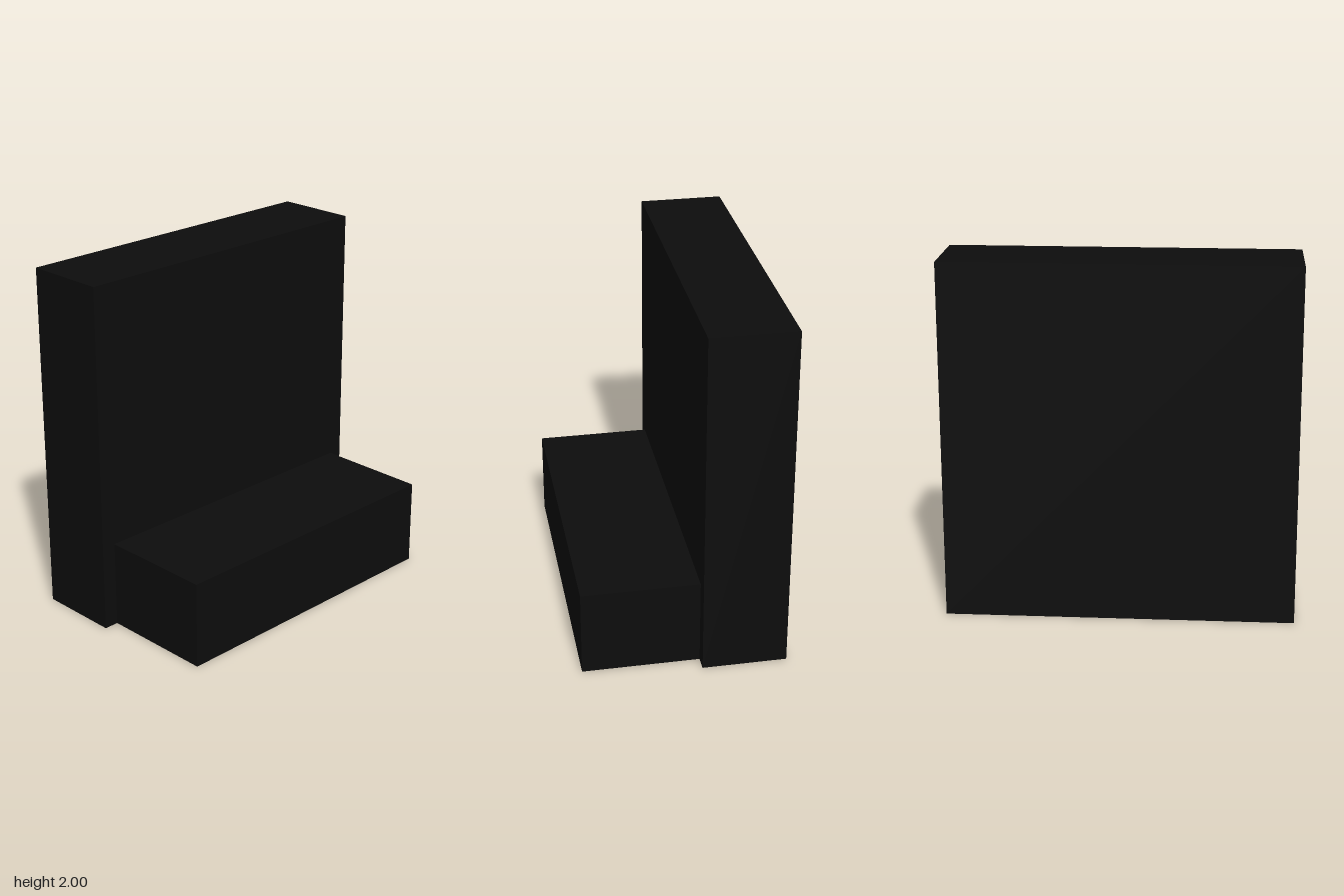
import * as THREE from 'three';

export function createModel() {
  const model = new THREE.Group();
  model.name = 'steppedBlock';

  const black = new THREE.MeshStandardMaterial({ color: 0x0d0d0d });
  black.name = 'black';

  // Box standing on the ground, centred on x, spanning zBack to zFront
  function addBlock(name, width, height, zBack, zFront) {
    const mesh = new THREE.Mesh(new THREE.BoxGeometry(width, height, zFront - zBack), black);
    mesh.position.set(0, height / 2, (zBack + zFront) / 2);
    mesh.name = name;
    model.add(mesh);
  }

  // Tall upright slab at the back
  addBlock('backSlab', 1.936, 2, -0.565, -0.092);
  // Low, slightly narrower block in front
  addBlock('frontBlock', 1.77, 0.497, -0.092, 0.565);

  return model;
}
